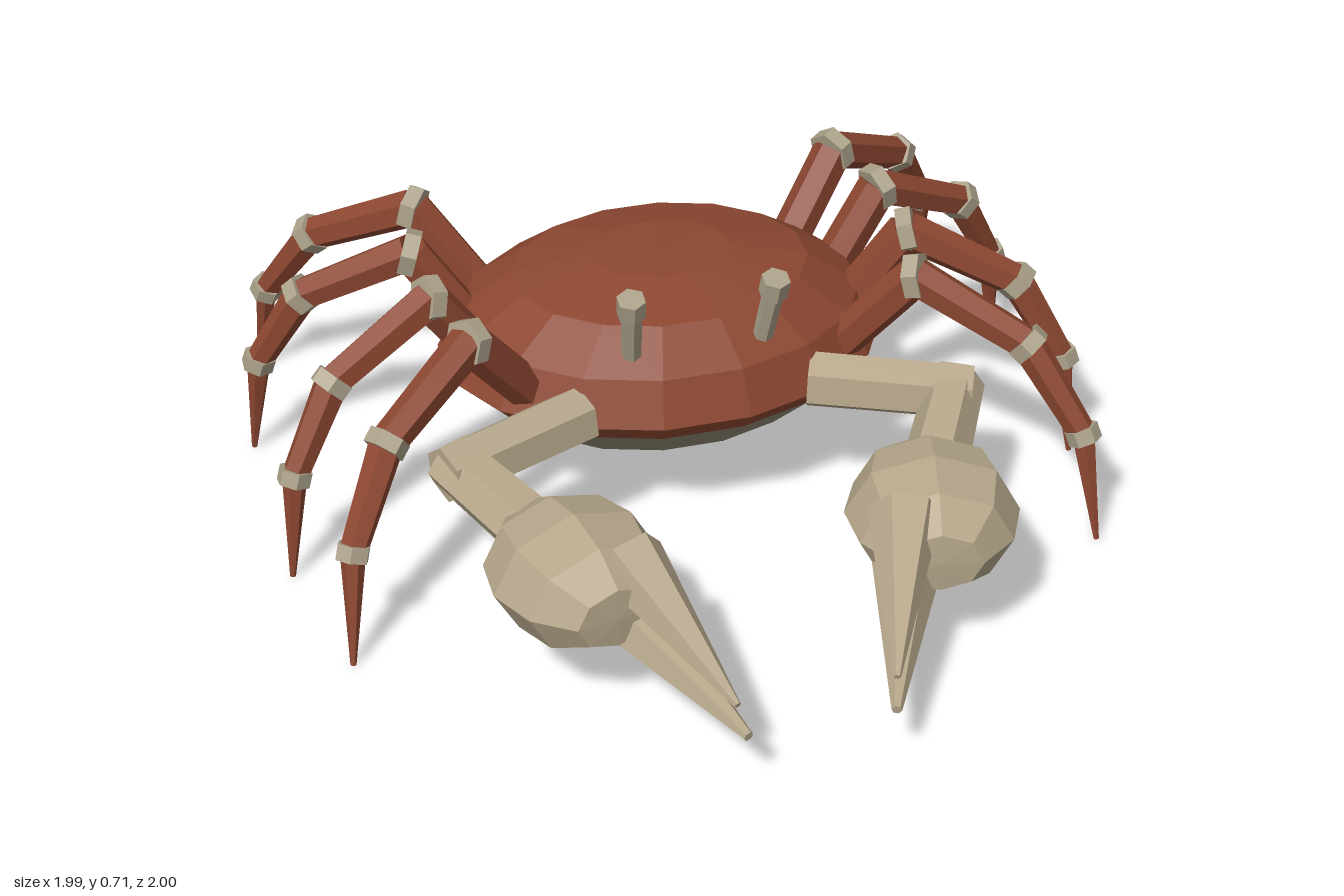
import * as THREE from 'three';

const mat = (name, color) => {
  const m = new THREE.MeshStandardMaterial({ color });
  m.name = name;
  return m;
};
const V = (x, y, z) => new THREE.Vector3(x, y, z);

export function createModel() {
  const shellRed = mat('shellRed', 0x8c4731);
  const clawTan = mat('clawTan', 0xb5a68a);
  const jointTan = mat('jointTan', 0xaca28b);
  const bellyGrey = mat('bellyGrey', 0x8d8572);

  // Faceted mesh: unshared corners give flat normals
  const add = (parent, name, geo, material) => {
    const g = geo.index ? geo.toNonIndexed() : geo;
    g.computeVertexNormals();
    const mesh = new THREE.Mesh(g, material);
    mesh.name = name;
    parent.add(mesh);
    return mesh;
  };

  // Tapered prism running from point a to point b
  const rod = (parent, name, a, b, ra, rb, material, sides = 6) => {
    const d = b.clone().sub(a);
    const geo = new THREE.CylinderGeometry(rb, ra, d.length(), sides);
    const mesh = add(parent, name, geo, material);
    mesh.position.copy(a).add(b).multiplyScalar(0.5);
    mesh.quaternion.setFromUnitVectors(V(0, 1, 0), d.normalize());
    return mesh;
  };

  const lathe = (points, sides, phi = 0) =>
    new THREE.LatheGeometry(points.map(p => new THREE.Vector2(p[0], p[1])), sides, phi);

  const model = new THREE.Group();
  model.name = 'crab';
  const midZ = -0.335;

  // Body: oval red shell over a grey belly
  const body = new THREE.Group();
  body.name = 'body';
  body.position.z = midZ;
  body.scale.z = 0.79;
  model.add(body);
  add(body, 'belly', lathe([[0, 0.205], [0.385, 0.205], [0.5, 0.3]], 16, Math.PI / 16), bellyGrey);
  add(body, 'shell', lathe([[0.5, 0.3], [0.55, 0.35], [0.495, 0.46], [0.365, 0.545],
    [0.17, 0.585], [0, 0.59]], 16, Math.PI / 16), shellRed);

  // Leg joints for the outer and inner pairs; z is the distance from the body middle
  const legPaths = {
    outer: [[0.37, 0.37, 0.22], [0.54, 0.605, 0.32], [0.77, 0.475, 0.485], [0.88, 0.27, 0.595], [0.907, 0.004, 0.66]],
    inner: [[0.43, 0.37, 0.07], [0.59, 0.605, 0.112], [0.845, 0.475, 0.205], [0.955, 0.27, 0.26], [0.982, 0.004, 0.285]],
  };
  const radii = [[0.05, 0.05], [0.048, 0.042], [0.042, 0.033], [0.03, 0.007]];
  const ringSize = [0, 0.059, 0.05, 0.041];

  for (const s of [1, -1]) {
    const side = s > 0 ? 'left' : 'right';

    // Walking legs
    for (const [pair, path] of Object.entries(legPaths)) {
      for (const f of [1, -1]) {
        const leg = new THREE.Group();
        leg.name = `${side}${f > 0 ? 'Front' : 'Back'}${pair === 'outer' ? 'Outer' : 'Inner'}Leg`;
        model.add(leg);
        const p = path.map(([x, y, z]) => V(s * x, y, midZ + f * z));
        for (let i = 0; i < 4; i++) {
          rod(leg, i === 3 ? 'legTip' : 'legSegment', p[i], p[i + 1], ...radii[i], shellRed);
          if (i === 0) continue;
          // Joint ring set across the bend
          const t = p[i].clone().sub(p[i - 1]).normalize()
            .add(p[i + 1].clone().sub(p[i]).normalize()).normalize().multiplyScalar(0.019);
          rod(leg, 'legJoint', p[i].clone().sub(t), p[i].clone().add(t), ringSize[i], ringSize[i], jointTan);
        }
      }
    }

    // Claw arm
    const claw = new THREE.Group();
    claw.name = `${side}Claw`;
    model.add(claw);
    rod(claw, 'upperArm', V(s * 0.28, 0.365, -0.01), V(s * 0.64, 0.355, 0.14), 0.072, 0.07, clawTan);
    rod(claw, 'foreArm', V(s * 0.615, 0.36, 0.09), V(s * 0.475, 0.3, 0.34), 0.07, 0.078, clawTan);

    // Palm: faceted ball, flattened in height
    const palm = lathe([[0, -0.21], [0.09, -0.205], [0.172, -0.115], [0.202, 0], [0.175, 0.12],
      [0.1, 0.205], [0, 0.21]], 8);
    palm.rotateX(Math.PI / 2).scale(1, 0.75, 1).rotateY(-s * 0.24);
    add(claw, 'palm', palm, clawTan).position.set(s * 0.42, 0.29, 0.485);

    // Pincer fingers
    rod(claw, 'upperFinger', V(s * 0.32, 0.36, 0.57), V(s * 0.18, 0.215, 0.955), 0.085, 0.008, clawTan);
    rod(claw, 'lowerFinger', V(s * 0.325, 0.225, 0.59), V(s * 0.167, 0.158, 0.995), 0.08, 0.012, clawTan);

    // Eye on a stalk
    const eye = new THREE.Group();
    eye.name = `${side}Eye`;
    model.add(eye);
    rod(eye, 'eyeStalk', V(s * 0.16, 0.515, 0), V(s * 0.17, 0.655, 0.045), 0.024, 0.026, jointTan);
    rod(eye, 'eyeTip', V(s * 0.17, 0.65, 0.042), V(s * 0.173, 0.7, 0.056), 0.035, 0.035, jointTan);
  }
  return model;
}
